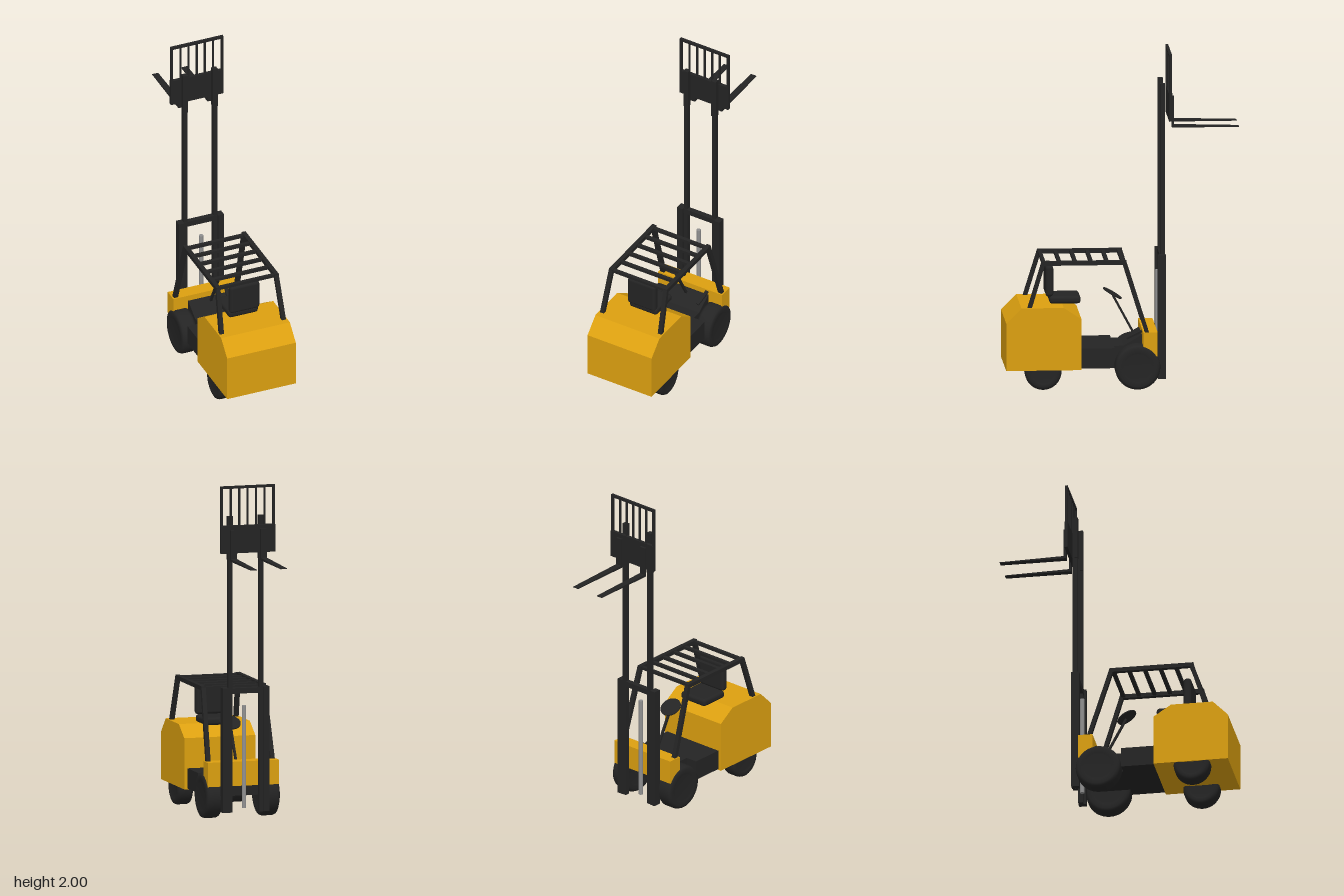
import * as THREE from 'three';
import { RoundedBoxGeometry } from 'three/addons/geometries/RoundedBoxGeometry.js';

const mat = (name, color) => {
  const m = new THREE.MeshStandardMaterial({ color });
  m.name = name;
  return m;
};

export function createModel() {
  const root = new THREE.Group();
  root.name = 'forklift';
  const yellow = mat('yellow paint', 0xdca010);
  const black = mat('black steel', 0x242424);
  const steel = mat('bare steel', 0x909090);

  const add = (name, geo, material, x = 0, y = 0, z = 0) => {
    const m = new THREE.Mesh(geo, material);
    m.name = name;
    m.position.set(x, y, z);
    root.add(m);
    return m;
  };
  // box given by its limits on each axis
  const box = (name, material, [x0, x1], [y0, y1], [z0, z1]) =>
    add(name, new THREE.BoxGeometry(x1 - x0, y1 - y0, z1 - z0), material,
      (x0 + x1) / 2, (y0 + y1) / 2, (z0 + z1) / 2);
  // side profile of [z, y] points, extruded across x
  const profile = (name, material, pts, x0, x1) => {
    const shape = new THREE.Shape(pts.map(([z, y]) => new THREE.Vector2(z, y)));
    const geo = new THREE.ExtrudeGeometry(shape, { depth: x1 - x0, bevelEnabled: false });
    geo.translate(0, 0, -(x1 - x0) / 2).rotateY(-Math.PI / 2);
    return add(name, geo, material, (x0 + x1) / 2);
  };
  // straight bar between two points
  const bar = (name, a, b, w, d) => {
    const p = new THREE.Vector3(...a), q = new THREE.Vector3(...b);
    const m = add(name, new THREE.BoxGeometry(w, p.distanceTo(q), d), black);
    m.position.copy(p).add(q).multiplyScalar(0.5);
    m.quaternion.setFromUnitVectors(new THREE.Vector3(0, 1, 0), q.sub(p).normalize());
    return m;
  };
  // tyre with rounded shoulders and a slightly recessed hub
  const wheel = (name, x, y, z, r, w) => {
    const h = w / 2, c = 0.02;
    const pts = [[0, -h + 0.006], [r * 0.6, -h + 0.006], [r * 0.64, -h], [r - c, -h], [r - c * 0.3, -h + c * 0.3], [r, -h + c],
      [r, h - c], [r - c * 0.3, h - c * 0.3], [r - c, h], [r * 0.64, h], [r * 0.6, h - 0.006], [0, h - 0.006]]
      .map(([a, b]) => new THREE.Vector2(a, b));
    add(name, new THREE.LatheGeometry(pts, 40).rotateZ(Math.PI / 2), black, x, y, z);
  };

  // counterweight, chassis and front cowl
  profile('counterweight', yellow,
    [[0.69, 0.125], [0.69, 0.41], [0.6, 0.5], [0.35, 0.5], [0.245, 0.43], [0.245, 0.125]], -0.22, 0.22);
  box('chassis', black, [-0.2, 0.2], [0.13, 0.25], [0.048, 0.25]);
  profile('footwell', black,
    [[0.05, 0.13], [0.05, 0.25], [-0.01, 0.25], [-0.112, 0.31], [-0.125, 0.31], [-0.125, 0.13]], -0.127, 0.127);
  box('frontCowl', yellow, [-0.22, 0.22], [0.2, 0.345], [-0.205, -0.12]);
  bar('pedal', [0.103, 0.29, -0.03], [0.118, 0.335, -0.118], 0.02, 0.012);

  // seat
  add('seatCushion', new RoundedBoxGeometry(0.19, 0.046, 0.185, 3, 0.018), black, 0, 0.522, 0.333);
  add('seatBack', new RoundedBoxGeometry(0.19, 0.185, 0.046, 3, 0.018), black, 0, 0.635, 0.425);

  // steering column and wheel
  bar('steeringColumn', [0, 0.31, -0.073], [0, 0.53, 0.045], 0.013, 0.013);
  const steer = add('steeringWheel', new THREE.CylinderGeometry(0.063, 0.063, 0.007, 32), black, 0, 0.542, 0.048);
  steer.rotation.x = -0.53;

  for (const s of [1, -1]) {
    const side = s > 0 ? 'left' : 'right';
    const span = (a, b) => (s > 0 ? [a, b] : [-b, -a]);

    // wheels
    wheel(side + 'FrontWheel', s * 0.177, 0.135, -0.088, 0.134, 0.1);
    wheel(side + 'RearWheel', s * 0.169, 0.113, 0.47, 0.108, 0.096);

    // overhead guard side
    bar(side + 'RearPost', [s * 0.199, 0.49, 0.553], [s * 0.187, 0.765, 0.469], 0.026, 0.024);
    bar(side + 'FrontPost', [s * 0.199, 0.335, -0.145], [s * 0.187, 0.765, -0.011], 0.026, 0.024);
    box(side + 'RoofRail', black, span(0.174, 0.2), [0.75, 0.775], [-0.022, 0.48]);

    // mast rails
    box(side + 'OuterMastRail', black, span(0.109, 0.145), [0.05, 0.793], [-0.26, -0.213]);
    box(side + 'InnerMastRail', black, span(0.084, 0.108), [0.05, 1.56], [-0.257, -0.228]);
    box(side + 'TopMastRail', black, span(0.08, 0.111), [1.555, 1.815], [-0.257, -0.228]);

    // fork with a tapering tine
    profile(side + 'Fork', black,
      [[-0.297, 1.74], [-0.297, 1.553], [-0.693, 1.553], [-0.693, 1.557], [-0.31, 1.568], [-0.31, 1.74]],
      ...span(0.074, 0.112));
    box(side + 'BackrestSide', black, span(0.155, 0.168), [1.76, 2], [-0.294, -0.277]);
  }

  // roof slats
  for (let i = 0; i < 6; i++) {
    const z = 0.466 - i * 0.0935;
    box('roofSlat', black, [-0.18, 0.18], [0.754, 0.771], [z - 0.011, z + 0.011]);
  }

  // mast crosspieces and lift cylinder
  box('mastCrossbar', black, [-0.11, 0.11], [0.757, 0.79], [-0.255, -0.225]);
  add('liftCylinder', new THREE.CylinderGeometry(0.013, 0.013, 0.61, 24), steel, 0, 0.375, -0.218);

  // carriage and load backrest
  box('carriagePlate', black, [-0.168, 0.168], [1.6, 1.765], [-0.297, -0.277]);
  box('backrestTop', black, [-0.168, 0.168], [1.985, 2], [-0.294, -0.277]);
  for (let i = -2; i <= 2; i++) {
    const x = i * 0.052;
    box('backrestBar', black, [x - 0.005, x + 0.005], [1.76, 1.99], [-0.291, -0.28]);
  }
  return root;
}
